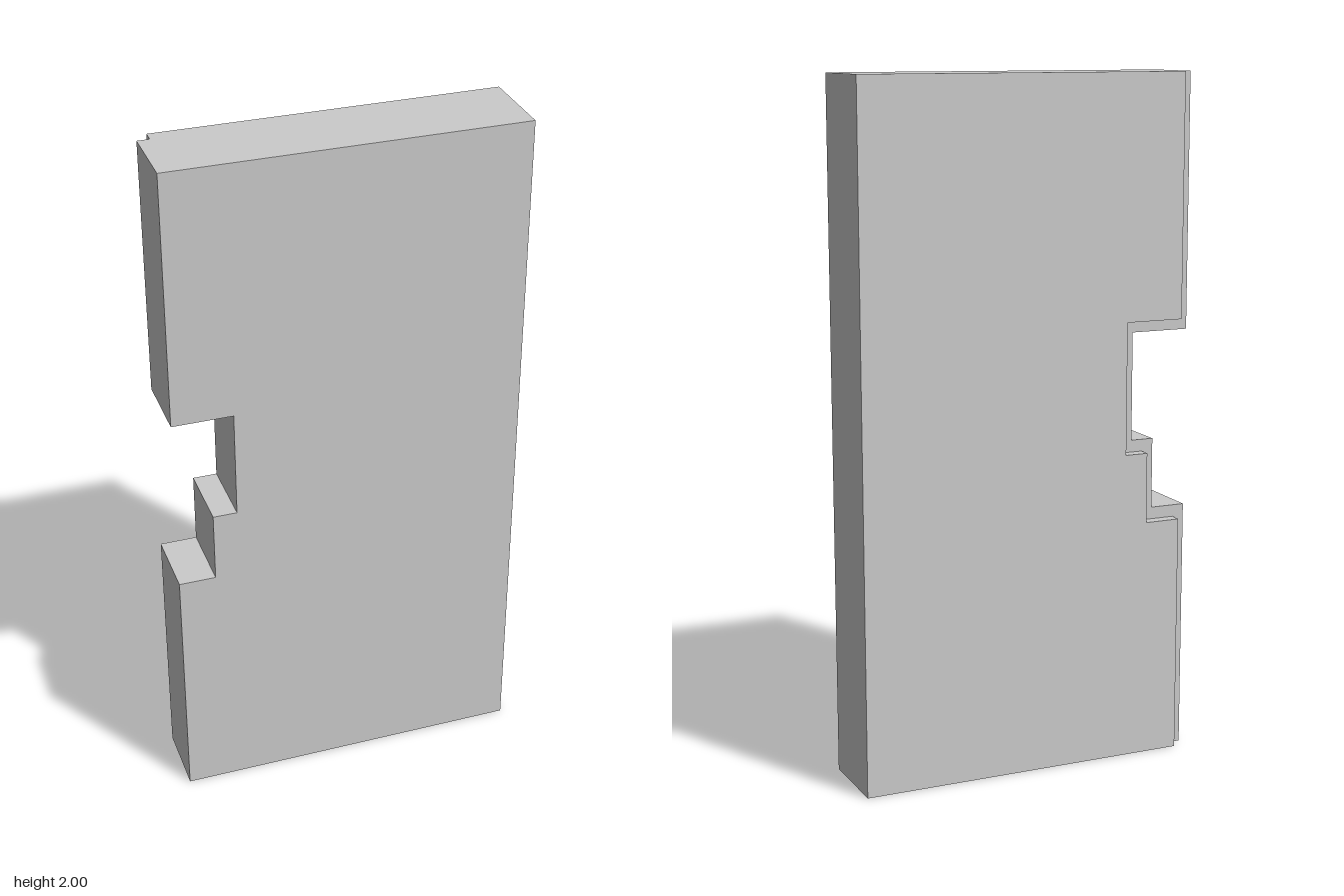
import * as THREE from 'three';

const HALF_W = 0.508, HALF_D = 0.122, STEP = 0.035;

// Slab outline with the stepped notch; inset pulls the notched edge inwards
function outline(inset) {
  const edge = -HALF_W + inset, mid = -0.402 + inset, deep = -0.333 + inset;
  const low = 0.74 - inset, ledge = 0.947 - inset, high = 1.263 + inset;
  return new THREE.Shape([
    [edge, 0], [HALF_W, 0], [HALF_W, 2], [edge, 2],
    [edge, high], [deep, high], [deep, ledge],
    [mid, ledge], [mid, low], [edge, low],
  ].map(([x, y]) => new THREE.Vector2(x, y)));
}

function layer(name, inset, zBack, zFront, material) {
  const geometry = new THREE.ExtrudeGeometry(outline(inset), { depth: zFront - zBack, bevelEnabled: false });
  geometry.translate(0, 0, zBack);
  const mesh = new THREE.Mesh(geometry, material);
  mesh.name = name;
  return mesh;
}

export function createModel() {
  const group = new THREE.Group();
  group.name = 'notchedSlab';
  const material = new THREE.MeshStandardMaterial({ color: 0xcccccc, flatShading: true });

  // Full-width body, and the thin back layer that leaves a rebate along the notched edge
  group.add(layer('slabBody', 0, -HALF_D + STEP, HALF_D, material));
  group.add(layer('rebatedBack', STEP, -HALF_D, -HALF_D + STEP, material));
  return group;
}
